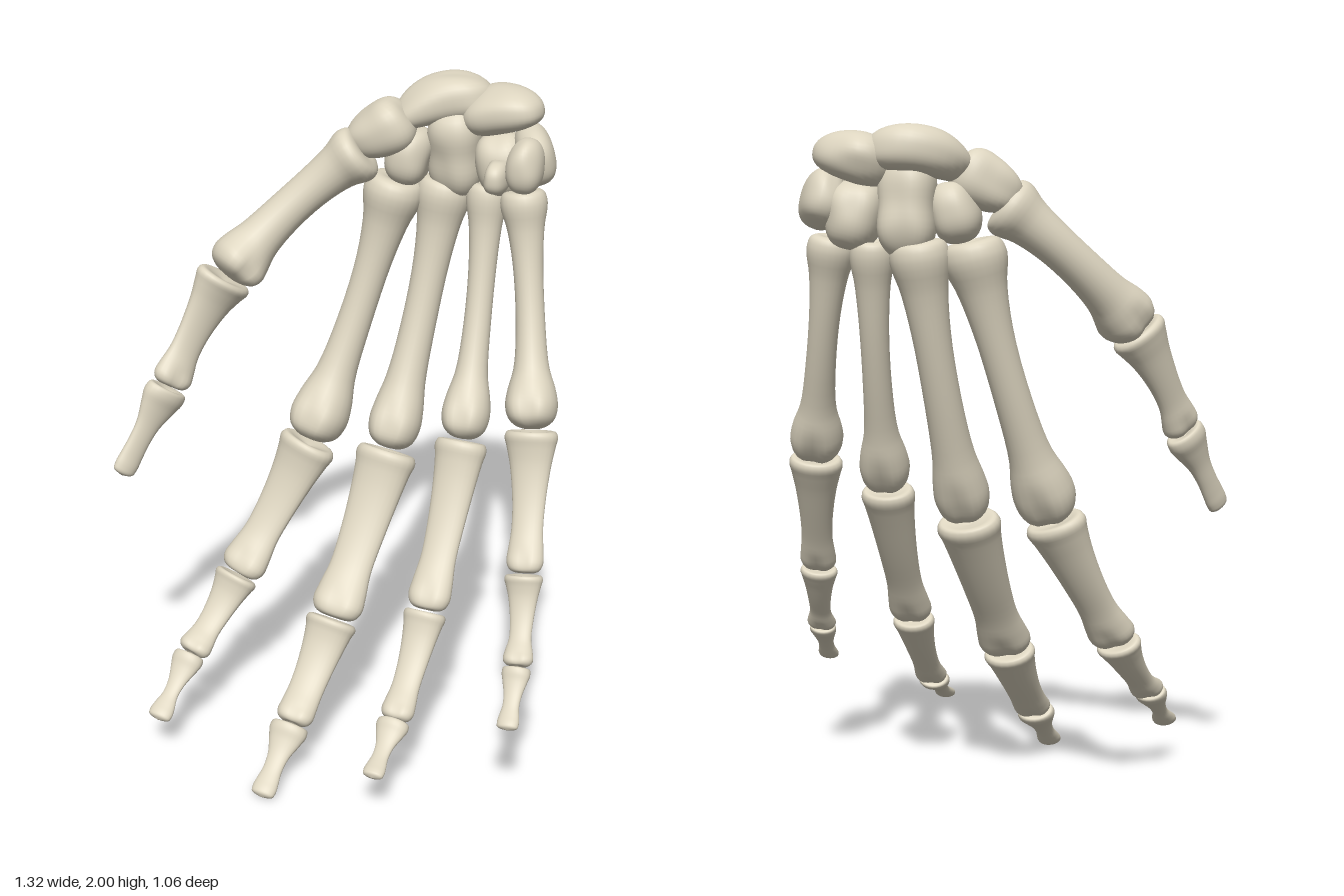
import * as THREE from 'three';
import { mergeVertices } from 'three/addons/utils/BufferGeometryUtils.js';

const V = (a) => new THREE.Vector3(...a);
const boneMat = new THREE.MeshStandardMaterial({ color: 0xddd5c0 });

// Profiles from base to head: [t, base share, shaft share, head share, depth ratio]
const PROFILES = {
  metacarpal: [
    [0.02, 0, 0, 0, 1], [0, 0.55, 0, 0, 0.95], [0.012, 0.88, 0, 0, 0.95], [0.06, 1, 0, 0, 0.95],
    [0.16, 0.52, 0.42, 0, 0.95], [0.32, 0.06, 0.9, 0, 1], [0.55, 0, 0.97, 0, 1], [0.74, 0, 0.82, 0.2, 1],
    [0.84, 0, 0.15, 0.84, 0.98], [0.91, 0, 0, 1, 1], [0.965, 0, 0, 0.84, 1.05], [0.993, 0, 0, 0.48, 1.05], [1, 0, 0, 0, 1],
  ],
  phalanx: [
    [0.035, 0, 0, 0, 0.7], [0.012, 0.5, 0, 0, 0.75], [0, 0.86, 0, 0, 0.75], [0.035, 1, 0, 0, 0.76],
    [0.11, 0.9, 0.04, 0, 0.74], [0.25, 0.4, 0.6, 0, 0.7], [0.5, 0, 1, 0, 0.66], [0.7, 0, 0.96, 0, 0.64],
    [0.84, 0, 0.3, 0.7, 0.66], [0.93, 0, 0, 1, 0.7], [0.98, 0, 0, 0.8, 0.7], [0.997, 0, 0, 0.5, 0.7], [0.99, 0, 0, 0, 0.7],
  ],
  tip: [
    [0.05, 0, 0, 0, 0.7], [0.01, 0.5, 0, 0, 0.7], [0, 0.85, 0, 0, 0.7], [0.08, 1, 0, 0, 0.7],
    [0.22, 0.72, 0.25, 0, 0.65], [0.42, 0.12, 0.9, 0, 0.66], [0.62, 0, 1, 0, 0.65], [0.78, 0, 0.3, 0.7, 0.6],
    [0.9, 0, 0, 1, 0.58], [0.97, 0, 0, 0.8, 0.55], [1, 0, 0, 0, 0.5],
  ],
};

// Loft a long bone between two joints, bowed towards the back of the hand
function longBone(name, kind, from, to, widths, lateral, bow) {
  const SEG = 24, ROWS = 44, gap = 0.003;
  const axis = to.clone().sub(from).normalize();
  const a = from.clone().addScaledVector(axis, gap), b = to.clone().addScaledVector(axis, -gap);
  const palm = axis.clone().cross(lateral).normalize();
  const mid = a.clone().add(b).multiplyScalar(0.5).addScaledVector(palm, -2 * bow);
  const path = new THREE.QuadraticBezierCurve3(a, mid, b);
  const profile = new THREE.CatmullRomCurve3(PROFILES[kind].map(([t, p, q, r, d]) => {
    const w = (p * widths[0] + q * widths[1] + r * widths[2]) / 2;
    return new THREE.Vector3(t, w, w * d);
  }), false, 'centripetal');
  const pos = [], index = [];
  for (let i = 0; i <= ROWS; i++) {
    const s = profile.getPoint(i / ROWS);
    const t = THREE.MathUtils.clamp(s.x, 0, 1);
    const C = path.getPoint(t), T = path.getTangent(t);
    const D = T.clone().cross(lateral).normalize(), W = D.clone().cross(T);
    const head = kind === 'tip' ? 0 : THREE.MathUtils.smoothstep(t, 0.78, 0.94);
    const shaft = Math.sin(Math.PI * t);
    for (let j = 0; j < SEG; j++) {
      const th = (j / SEG) * Math.PI * 2, c = Math.cos(th), n = Math.sin(th);
      // groove between the two condyles, and a flattened palm side
      let depth = s.z * n * (1 - 0.22 * head * Math.exp(-((c / 0.4) ** 2)));
      if (n > 0) depth *= kind === 'metacarpal' ? 1 + 0.2 * head : 1 - 0.3 * shaft;
      const p = C.clone().addScaledVector(W, s.y * c).addScaledVector(D, depth);
      pos.push(p.x, p.y, p.z);
      if (i < ROWS) {
        const k = (j + 1) % SEG, r0 = i * SEG, r1 = r0 + SEG;
        index.push(r0 + j, r0 + k, r1 + j, r0 + k, r1 + k, r1 + j);
      }
    }
  }
  const g = new THREE.BufferGeometry();
  g.setAttribute('position', new THREE.Float32BufferAttribute(pos, 3));
  g.setIndex(index);
  return finish(name, g);
}

function finish(name, g) {
  g = mergeVertices(g, 1e-5);
  g.computeVertexNormals();
  const mesh = new THREE.Mesh(g, boneMat);
  mesh.name = name;
  return mesh;
}

// Wrist bone: a rounded pebble with a few soft facets, optionally bent into a
// crescent, tapered towards its +x end, or pinched to a waist at mid height
function wristBone({ name, at, half, rot = [0, 0, 0], bend = 0, taper = 0, waist = 0, seed }) {
  let s = seed * 7919;
  const rnd = () => (s = (s * 16807) % 2147483647) / 2147483647;
  const facets = [];
  for (let i = 0; i < 5; i++) {
    facets.push(new THREE.Vector3(rnd() - 0.5, rnd() - 0.5, rnd() - 0.5).normalize());
  }
  const g = new THREE.SphereGeometry(1, 36, 24);
  g.deleteAttribute('uv');
  g.deleteAttribute('normal');
  const P = g.attributes.position, v = new THREE.Vector3();
  for (let i = 0; i < P.count; i++) {
    v.fromBufferAttribute(P, i).normalize();
    const round = Math.abs(v.x) ** 2.5 + Math.abs(v.y) ** 2.5 + Math.abs(v.z) ** 2.5;
    const press = facets.reduce((acc, n) => acc + Math.max(0, n.dot(v)) ** 10, 0);
    v.multiplyScalar(round ** -0.4 * (1 + 0.9 * press) ** -0.17);
    const drop = bend * v.x * v.x, slim = 1 - taper * v.x;
    const pinch = 1 - waist * Math.exp(-((v.y / 0.4) ** 2));
    v.multiply(V(half));
    P.setXYZ(i, v.x * pinch, v.y * slim - drop, v.z * slim * pinch + drop);
  }
  const mesh = finish(name, g);
  mesh.position.set(...at);
  mesh.rotation.set(...rot);
  return mesh;
}

// Joints run from wrist to tip; widths are [base, shaft, head] of each bone
const FINGERS = [
  { name: 'indexFinger', lateral: [1, -0.25, 0.15],
    joints: [[0.01, 1.68, -0.385], [-0.19, 0.865, -0.16], [-0.355, 0.462, 0.045], [-0.435, 0.265, 0.24], [-0.47, 0.12, 0.42]],
    widths: [[0.185, 0.11, 0.18], [0.185, 0.125, 0.145], [0.14, 0.09, 0.105], [0.1, 0.05, 0.075]] },
  { name: 'middleFinger', lateral: [1, -0.12, 0],
    joints: [[0.15, 1.68, -0.43], [0.06, 0.865, -0.185], [-0.01, 0.41, 0.11], [-0.055, 0.16, 0.345], [-0.08, 0.005, 0.53]],
    widths: [[0.17, 0.11, 0.16], [0.19, 0.14, 0.16], [0.16, 0.115, 0.115], [0.12, 0.06, 0.075]] },
  { name: 'ringFinger', lateral: [1, 0, 0],
    joints: [[0.28, 1.68, -0.425], [0.302, 0.945, -0.17], [0.29, 0.5, 0.11], [0.277, 0.25, 0.345], [0.268, 0.155, 0.52]],
    widths: [[0.125, 0.085, 0.145], [0.16, 0.115, 0.13], [0.13, 0.09, 0.1], [0.1, 0.05, 0.065]] },
  { name: 'littleFinger', lateral: [1, 0.15, -0.1],
    joints: [[0.405, 1.69, -0.37], [0.525, 1.03, -0.14], [0.575, 0.657, 0.06], [0.61, 0.437, 0.22], [0.625, 0.305, 0.36]],
    widths: [[0.14, 0.09, 0.155], [0.16, 0.1, 0.11], [0.115, 0.07, 0.09], [0.085, 0.05, 0.065]] },
  { name: 'thumb', lateral: [0.6, -0.53, -0.6],
    joints: [[-0.06, 1.785, -0.29], [-0.415, 1.415, -0.06], [-0.54, 1.1, 0.105], [-0.645, 0.845, 0.24]],
    widths: [[0.18, 0.125, 0.175], [0.18, 0.105, 0.125], [0.135, 0.07, 0.075]] },
];

const WRIST = [
  { name: 'scaphoid', at: [0.135, 1.925, -0.425], half: [0.155, 0.07, 0.09], rot: [0, 0.35, 0.22], bend: 0.03, taper: -0.12, seed: 2 },
  { name: 'lunate', at: [0.33, 1.91, -0.425], half: [0.12, 0.07, 0.1], rot: [0, -0.25, 0.18], bend: 0.01, taper: 0.22, seed: 3 },
  { name: 'triquetrum', at: [0.425, 1.79, -0.4], half: [0.06, 0.085, 0.1], rot: [0.2, 0.45, 0.2], seed: 4 },
  { name: 'pisiform', at: [0.44, 1.798, -0.26], half: [0.053, 0.08, 0.067], seed: 5 },
  { name: 'trapezium', at: [-0.025, 1.835, -0.325], half: [0.105, 0.08, 0.08], rot: [0, 0.2, 0.45], taper: -0.2, seed: 6 },
  { name: 'trapezoid', at: [0.055, 1.755, -0.37], half: [0.07, 0.088, 0.085], rot: [0, 0, -0.2], seed: 7 },
  { name: 'capitate', at: [0.18, 1.77, -0.42], half: [0.088, 0.145, 0.095], rot: [0.1, 0, 0], waist: 0.12, seed: 8 },
  { name: 'hamate', at: [0.33, 1.75, -0.42], half: [0.08, 0.1, 0.088], rot: [0, 0, 0.2], seed: 9 },
  { name: 'hamateHook', at: [0.34, 1.735, -0.325], half: [0.038, 0.05, 0.068], seed: 10 },
];

export function createModel() {
  const hand = new THREE.Group();
  hand.name = 'handSkeleton';

  // Fingers and thumb
  for (const f of FINGERS) {
    const finger = new THREE.Group();
    finger.name = f.name;
    const lateral = V(f.lateral).normalize();
    const last = f.widths.length - 1;
    f.widths.forEach((w, i) => {
      const kind = i === 0 ? 'metacarpal' : i === last ? 'tip' : 'phalanx';
      const part = i === 0 ? 'metacarpal' : i === last ? 'distalPhalanx' : i === 1 ? 'proximalPhalanx' : 'middlePhalanx';
      const bow = i === 0 ? 0.04 : i === last ? 0.003 : 0.016;
      finger.add(longBone(part, kind, V(f.joints[i]), V(f.joints[i + 1]), w, lateral, bow));
    });
    hand.add(finger);
  }

  // Wrist
  const wrist = new THREE.Group();
  wrist.name = 'wrist';
  WRIST.forEach((b) => wrist.add(wristBone(b)));
  hand.add(wrist);
  return hand;
}
